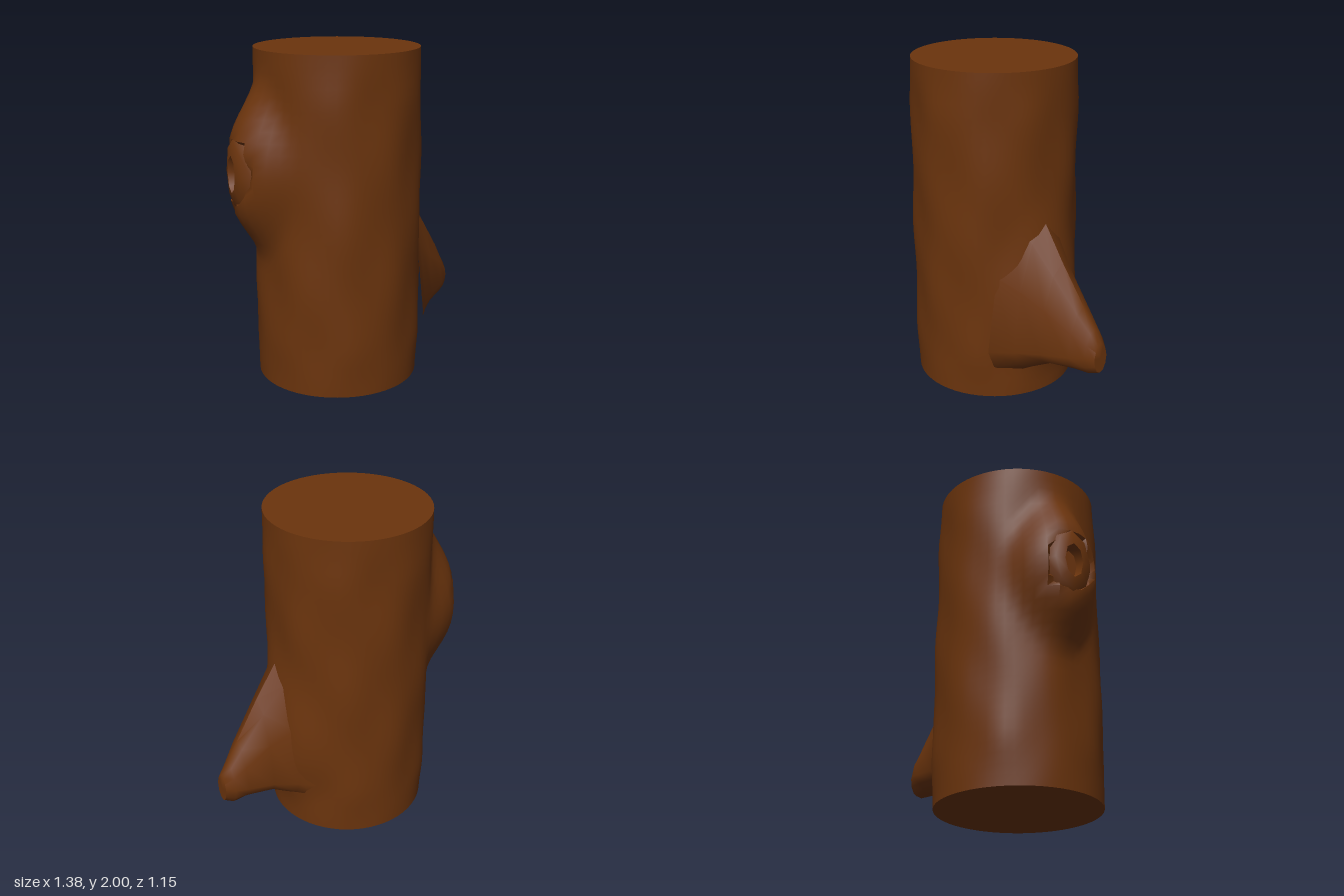
import * as THREE from 'three';
import { toCreasedNormals } from 'three/addons/utils/BufferGeometryUtils.js';

const CX = -0.05, CZ = 0.07, R = 0.487; // trunk axis and radius
const CREASE = 0.9;
const STUB = new THREE.Vector2(0.755, -0.656).normalize(); // directions as (x, z)
const KNOT = new THREE.Vector2(-0.9, 0.43).normalize();

// Loft closed rings outwards from the trunk axis along a horizontal direction.
// Each ring: [distance from axis, half width, top y, widest y, bottom y, sideways shift]
function outgrowth(dir, rings, sides, pinch) {
  const pos = [], index = [];
  const add = (out, u, y) =>
    pos.push(CX + dir.x * out + dir.y * u, y, CZ + dir.y * out - dir.x * u);
  for (const [out, w, top, mid, bottom, shift] of rings) {
    for (let j = 0; j < sides; j++) {
      const a = (j / sides) * Math.PI * 2 + Math.PI / 2;
      const s = Math.sin(a);
      const u = shift + w * Math.cos(a) * (1 - pinch * Math.max(0, s));
      add(out, u, mid + s * (s > 0 ? top - mid : mid - bottom));
    }
  }
  for (let i = 0; i < rings.length - 1; i++) {
    for (let j = 0; j < sides; j++) {
      const k = (j + 1) % sides;
      const a = i * sides + j, b = i * sides + k;
      index.push(a, b, b + sides, a, b + sides, a + sides);
    }
  }
  // end cap
  const last = rings[rings.length - 1], base = (rings.length - 1) * sides;
  add(last[0], last[5], (last[2] + last[4]) / 2);
  for (let j = 0; j < sides; j++) index.push(base + sides, base + j, base + (j + 1) % sides);
  const geo = new THREE.BufferGeometry();
  geo.setAttribute('position', new THREE.Float32BufferAttribute(pos, 3));
  geo.setIndex(index);
  return toCreasedNormals(geo, CREASE);
}

// Elliptical distance of a trunk point from a spot on the bark: 0 centre, 1 rim
function spotDistance(x, y, z, dir, width, mid, up, down) {
  if (x * dir.x + z * dir.y < 0) return 1;
  const u = (x * dir.y - z * dir.x) / width;
  const v = (y - mid) / (y > mid ? up : down);
  return Math.min(1, Math.hypot(u, v));
}

// Cylinder with bark ripples, the knot swelling and the flare under the stub
function trunkGeometry() {
  const geo = new THREE.CylinderGeometry(R, R, 2, 60, 32);
  geo.translate(0, 1, 0);
  const p = geo.attributes.position;
  const smooth = THREE.MathUtils.smoothstep;
  for (let i = 0; i < p.count; i++) {
    const x = p.getX(i), y = p.getY(i), z = p.getZ(i);
    const a = Math.atan2(z, x);
    const fade = Math.min(1, 2.5 * Math.sin((Math.PI * y) / 2));
    const ripple = 0.006
      + 0.007 * Math.sin(5 * a + 3 * y) * Math.sin(4 * y + a)
      + 0.007 * Math.sin(8 * a - 5 * y + 1) * Math.sin(5 * y + 2 * a);
    const k = spotDistance(x, y, z, KNOT, 0.31, 1.3, 0.57, 0.55);
    const knot = 0.165 * (1 - smooth(k, 0.3, 1)) - 0.1 * (1 - smooth(k, 0.2, 0.36));
    const s = spotDistance(x, y, z, STUB, 0.4, 0.5, 0.8, 0.42);
    const flare = 0.07 * (1 - smooth(s, 0, 1));
    const scale = 1 + (fade * ripple + knot + flare) / R;
    p.setXYZ(i, CX + x * scale, y, CZ + z * scale);
  }
  return toCreasedNormals(geo, CREASE);
}

export function createModel() {
  const group = new THREE.Group();
  group.name = 'treeTrunk';
  const bark = new THREE.MeshStandardMaterial({ color: 0x6b340d });
  const addPart = (name, geo) => {
    const mesh = new THREE.Mesh(geo, bark);
    mesh.name = name;
    group.add(mesh);
  };

  addPart('trunk', trunkGeometry());

  // Broken branch stub: long broad ridge above, flat underside
  addPart('branchStub', outgrowth(STUB, [
    [0.38, 0.34, 1.26, 0.33, 0.10, -0.04],
    [0.50, 0.24, 1.10, 0.34, 0.18, -0.04],
    [0.64, 0.17, 0.90, 0.36, 0.26, -0.035],
    [0.80, 0.12, 0.67, 0.38, 0.275, -0.015],
    [0.88, 0.085, 0.55, 0.39, 0.265, 0],
    [0.93, 0.05, 0.48, 0.39, 0.29, 0],
  ], 12, 0.15));

  // Rim of the knot with a small hollow sunk into its face
  addPart('knotHollow', outgrowth(KNOT, [
    [0.60, 0.15, 1.56, 1.3, 1.05, 0],
    [0.655, 0.115, 1.50, 1.3, 1.12, 0],
    [0.668, 0.06, 1.41, 1.3, 1.19, 0],
    [0.61, 0.05, 1.39, 1.3, 1.21, 0],
  ], 8, 0));

  return group;
}
